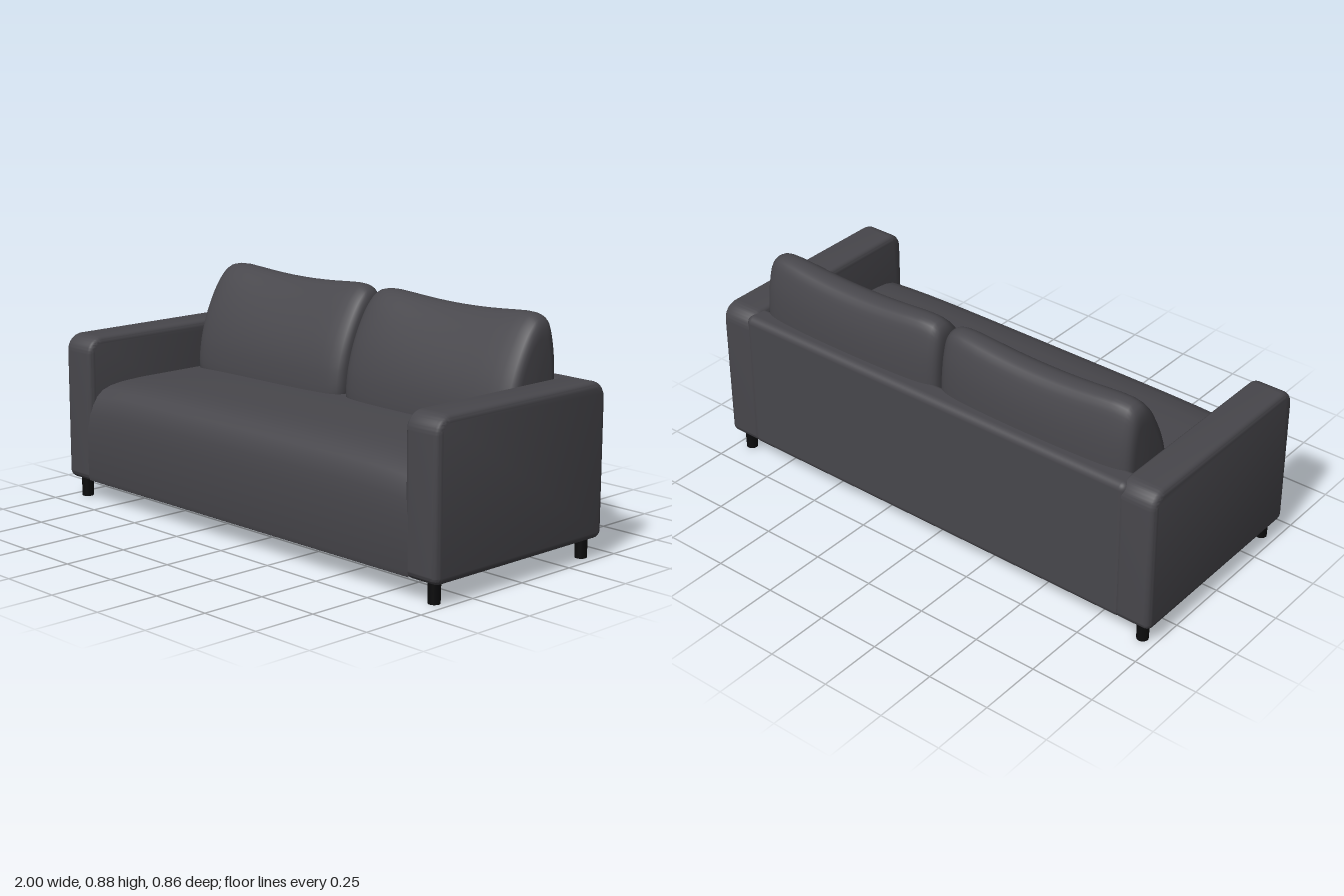
import * as THREE from 'three';
import { toCreasedNormals } from 'three/addons/utils/BufferGeometryUtils.js';
import { RoundedBoxGeometry } from 'three/addons/geometries/RoundedBoxGeometry.js';

// Skin closed rings of [x, y, z] points, ordered along +x
function loft(rings) {
  const n = rings[0].length, index = [];
  for (let i = 0; i < rings.length - 1; i++) {
    for (let j = 0; j < n; j++) {
      const k = (j + 1) % n;
      const a = i * n + j, b = i * n + k, c = a + n, d = b + n;
      index.push(a, c, b, b, c, d);
    }
  }
  const geo = new THREE.BufferGeometry();
  geo.setAttribute('position', new THREE.Float32BufferAttribute(rings.flat(2), 3));
  geo.setIndex(index);
  geo.computeVertexNormals();
  return geo;
}

// Positions from -1 to 1, denser towards both ends
const half = [0.15, 0.3, 0.45, 0.6, 0.75, 0.85, 0.91, 0.95, 0.975, 0.99, 0.998, 1];
const stops = [...half.map((t) => -t).reverse(), 0, ...half];

// Plump back cushion: side profile (z, y) shrunk towards rounded ends
function cushionGeometry(halfWidth) {
  const profile = new THREE.CatmullRomCurve3([
    [-0.07, 0.44], [-0.075, 0.55], [-0.105, 0.65], [-0.16, 0.752], [-0.22, 0.827],
    [-0.275, 0.861], [-0.335, 0.85], [-0.366, 0.78], [-0.383, 0.66], [-0.38, 0.5],
    [-0.36, 0.42], [-0.1, 0.41],
  ].map(([z, y]) => new THREE.Vector3(0, y, z)), true).getPoints(56).slice(0, -1);
  const cz = -0.24, cy = 0.64;
  return loft(stops.map((t) => {
    const u = Math.abs(t);
    const s = Math.pow(1 - Math.pow(u, 8), 1 / 8);
    const depth = s * (1 - 0.1 * u * u);
    return profile.map((p) => {
      const rise = Math.max(0, p.y - 0.6) * 0.13 * u * u;
      return [t * halfWidth, cy + (p.y - cy + rise) * s, cz + (p.z - cz) * depth];
    });
  }));
}

// Seat base with a soft front edge and a slight crown
function seatGeometry(halfWidth) {
  const profile = [
    [0.41, 0.075], [0.425, 0.082], [0.43, 0.1], [0.43, 0.3], [0.426, 0.36], [0.416, 0.4],
    [0.398, 0.433], [0.37, 0.456], [0.33, 0.47], [0.27, 0.478], [0.18, 0.482],
    [-0.1, 0.482], [-0.4, 0.482], [-0.4, 0.075],
  ];
  const rings = stops.map((t) => {
    const crown = 1 - 0.05 * Math.pow(Math.abs(t), 6);
    return profile.map(([z, y]) => [t * halfWidth, 0.075 + (y - 0.075) * crown, z]);
  });
  return toCreasedNormals(loft(rings), 0.7);
}

// Arm: rounded side outline extruded across its width with soft edges
function armGeometry() {
  const bevel = 0.025, w = 0.43 - bevel, y0 = 0.075 + bevel, y1 = 0.65 - bevel;
  const top = 0.04, low = 0.006;
  const s = new THREE.Shape();
  s.absarc(w - low, y0 + low, low, -Math.PI / 2, 0);
  s.absarc(w - top, y1 - top, top, 0, Math.PI / 2);
  s.absarc(-w + top, y1 - top, top, Math.PI / 2, Math.PI);
  s.absarc(-w + low, y0 + low, low, Math.PI, Math.PI * 1.5);
  const depth = 0.153 - 2 * bevel;
  const geo = new THREE.ExtrudeGeometry(s, {
    depth, bevelEnabled: true, bevelSize: bevel, bevelThickness: bevel,
    bevelSegments: 5, curveSegments: 8,
  });
  geo.translate(0, 0, -depth / 2);
  geo.rotateY(Math.PI / 2);
  return toCreasedNormals(geo, 0.6);
}

export function createModel() {
  const sofa = new THREE.Group();
  sofa.name = 'sofa';
  const fabric = new THREE.MeshStandardMaterial({ color: 0x48474c });
  fabric.name = 'charcoal fabric';
  const black = new THREE.MeshStandardMaterial({ color: 0x0c0c0d });
  black.name = 'black leg';

  const add = (name, geo, mat, x = 0, y = 0, z = 0) => {
    const mesh = new THREE.Mesh(geo, mat);
    mesh.name = name;
    mesh.position.set(x, y, z);
    sofa.add(mesh);
  };

  add('seat', seatGeometry(0.87), fabric);
  add('backPanel', new RoundedBoxGeometry(1.76, 0.567, 0.1, 5, 0.028), fabric, 0, 0.3585, -0.38);

  const arm = armGeometry();
  const cushion = cushionGeometry(0.418);
  const leg = new THREE.CylinderGeometry(0.024, 0.022, 0.1, 20);
  for (const [side, sx] of [['left', 1], ['right', -1]]) {
    add(side + 'Arm', arm, fabric, sx * 0.9235);
    add(side + 'BackCushion', cushion, fabric, sx * 0.423);
    add(side + 'FrontLeg', leg, black, sx * 0.945, 0.05, 0.38);
    add(side + 'BackLeg', leg, black, sx * 0.945, 0.05, -0.38);
  }
  return sofa;
}
